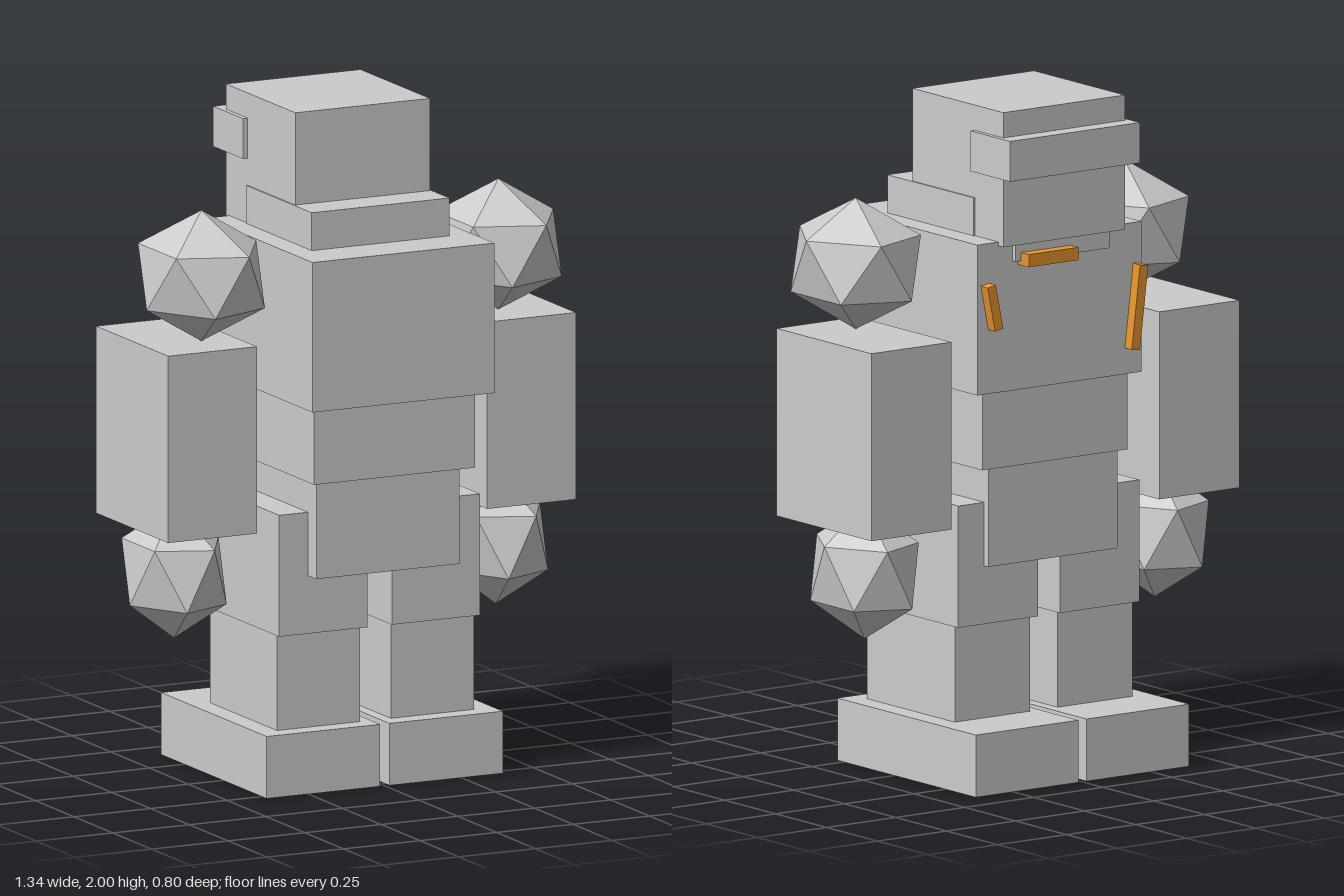
import * as THREE from 'three';

const grey = new THREE.MeshStandardMaterial({ color: 0xcccccc, flatShading: true });
const orange = new THREE.MeshStandardMaterial({ color: 0xe8962e, flatShading: true });

export function createModel() {
  const group = new THREE.Group();

  function add(name, geometry, x, y, z, material = grey) {
    const mesh = new THREE.Mesh(geometry, material);
    mesh.name = name;
    mesh.position.set(x, y, z);
    group.add(mesh);
    return mesh;
  }

  // Box given by its extents along each axis
  function block(name, [x0, x1], [y0, y1], [z0, z1], material) {
    return add(name, new THREE.BoxGeometry(x1 - x0, y1 - y0, z1 - z0),
      (x0 + x1) / 2, (y0 + y1) / 2, (z0 + z1) / 2, material);
  }

  // Icosahedron standing on a corner, with an upper ring corner towards +x
  function joint(name, x, y, z, rx, ry, rz) {
    const geometry = new THREE.IcosahedronGeometry(1, 0);
    geometry.rotateX(-Math.atan((1 + Math.sqrt(5)) / 2));
    geometry.rotateY(Math.PI / 2);
    geometry.scale(rx, ry, rz);
    return add(name, geometry, x, y, z);
  }

  // Head and neck
  block('head', [-0.22, 0.22], [1.6, 2], [-0.31, 0.137]);
  block('visor', [-0.235, 0.235], [1.805, 1.925], [-0.363, -0.17]);
  block('collar', [-0.225, 0.225], [1.58, 1.725], [-0.17, 0.253]);
  block('chinPlate', [-0.17, 0.17], [1.55, 1.66], [-0.302, -0.1]);

  // Trunk
  block('chest', [-0.297, 0.297], [1.165, 1.612], [-0.287, 0.4]);
  block('waist', [-0.263, 0.263], [0.935, 1.17], [-0.265, 0.343]);
  block('hips', [-0.234, 0.234], [0.643, 0.94], [-0.255, 0.3]);

  // Limbs
  for (const [side, s] of [['left', 1], ['right', -1]]) {
    const span = (a, b) => (s > 0 ? [a, b] : [-b, -a]);
    joint(side + 'Shoulder', s * 0.485, 1.525, 0.055, 0.2, 0.195, 0.235);
    block(side + 'Arm', span(0.376, 0.666), [0.773, 1.33], [-0.267, 0.198]);
    joint(side + 'Hand', s * 0.525, 0.63, -0.042, 0.162, 0.2, 0.204);
    block(side + 'Thigh', span(0.04, 0.328), [0.47, 0.832], [-0.235, 0.246]);
    block(side + 'Shin', span(0.05, 0.322), [0.17, 0.475], [-0.21, 0.22]);
    block(side + 'Foot', span(0.015, 0.386), [0, 0.185], [-0.4, 0.28]);
  }

  // Orange strips on the chest and under the chin
  block('chinStrip', [-0.03, 0.15], [1.537, 1.575], [-0.34, -0.28], orange);
  add('leftChestStrip', new THREE.BoxGeometry(0.03, 0.135, 0.035), 0.256, 1.425, -0.303, orange)
    .rotation.z = -0.2;
  add('rightChestStrip', new THREE.BoxGeometry(0.03, 0.25, 0.035), -0.267, 1.365, -0.303, orange)
    .rotation.z = 0.12;

  return group;
}
